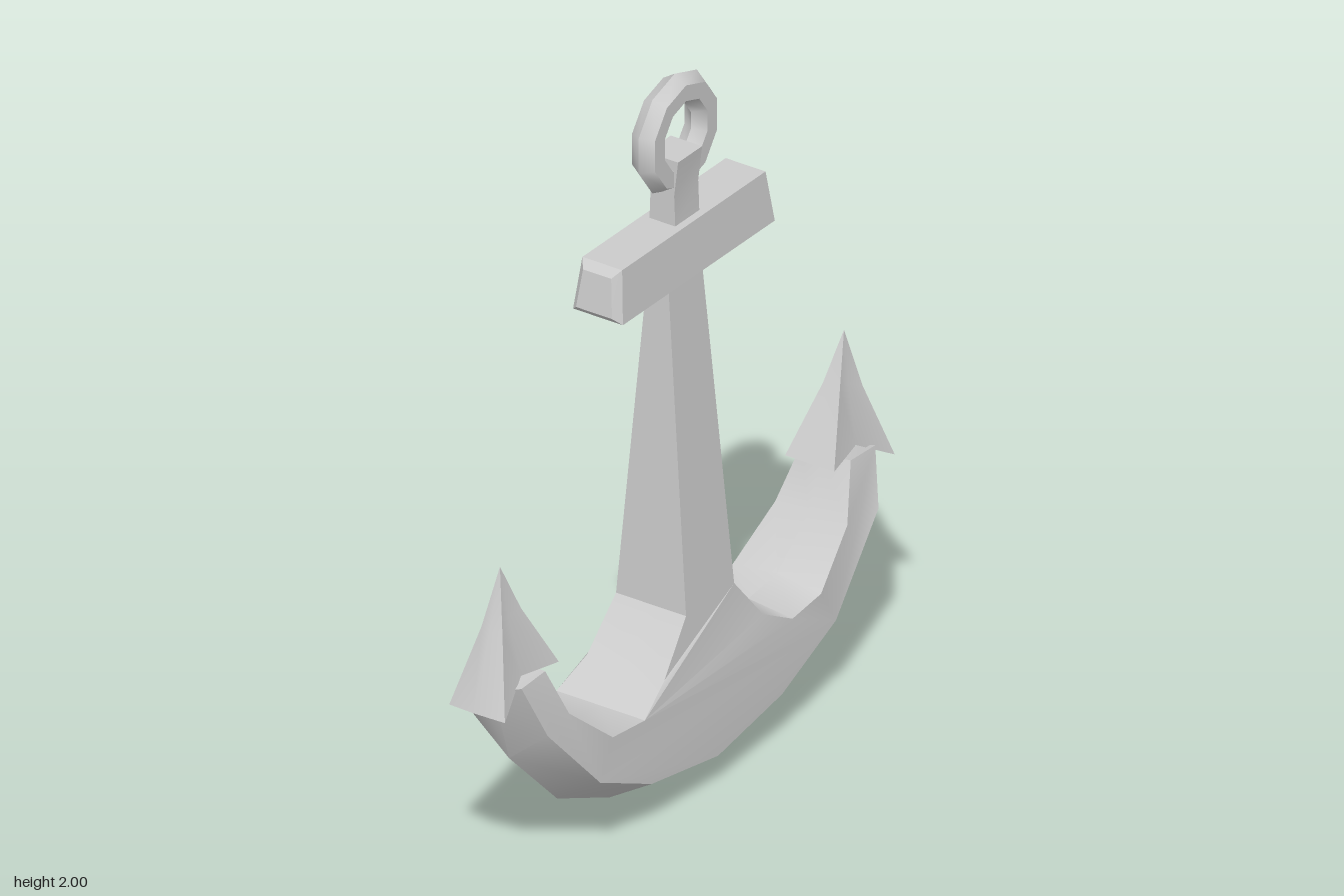
import * as THREE from 'three';
import { toCreasedNormals } from 'three/addons/utils/BufferGeometryUtils.js';

const material = new THREE.MeshStandardMaterial({ color: 0xcccccc });

function addMesh(parent, name, geometry, crease = 0.6) {
  const mesh = new THREE.Mesh(toCreasedNormals(geometry, crease), material);
  mesh.name = name;
  parent.add(mesh);
  return mesh;
}

function fromTriangles(triangles) {
  const geometry = new THREE.BufferGeometry();
  geometry.setAttribute('position', new THREE.Float32BufferAttribute(triangles.flat(2), 3));
  geometry.computeVertexNormals();
  return geometry;
}

// Shank and arms: outline points [z, y, half width, centre shift in z, centre shift in y]
function bodyGeometry() {
  const outline = [
    [-0.01, 0.095, 0.135, 0, -0.09],
    [0.28, 0.145, 0.135, -0.01, -0.085],
    [0.505, 0.25, 0.135, -0.005, -0.09],
    [0.71, 0.47, 0.118, 0.0, -0.1],
    [0.77, 0.62, 0.08, 0.01, -0.03],
    [0.66, 0.62, 0.075, 0, 0],
    [0.605, 0.485, 0.11, 0, 0],
    [0.45, 0.355, 0.135, 0, 0],
    [0.31, 0.34, 0.135, 0, 0],
    [0.2, 0.4, 0.118, 0, 0],
    [0.09, 0.53, 0.107, 0, 0],
    [0.06, 1.47, 0.03, 0, 0],
    [-0.085, 1.47, 0.03, 0, 0],
    [-0.12, 0.53, 0.107, -0.03, 0],
    [-0.23, 0.395, 0.118, -0.015, 0.015],
    [-0.335, 0.34, 0.135, 0, 0.015],
    [-0.46, 0.355, 0.135, 0, 0.015],
    [-0.61, 0.475, 0.11, 0.01, 0.01],
    [-0.675, 0.62, 0.075, 0.015, 0],
    [-0.775, 0.62, 0.08, -0.01, -0.03],
    [-0.735, 0.47, 0.118, 0, -0.1],
    [-0.525, 0.25, 0.135, 0, -0.09],
    [-0.29, 0.145, 0.135, 0, -0.09],
  ];
  const left = outline.map(([z, y, x]) => [x, y, z]);
  const right = outline.map(([z, y, x]) => [-x, y, z]);
  const middle = outline.map(([z, y, , dz, dy]) => [0, y + dy, z + dz]);
  const triangles = [];

  // Flat sides
  const contour = outline.map(([z, y]) => new THREE.Vector2(z, y));
  for (const [a, b, c] of THREE.ShapeUtils.triangulateShape(contour, [])) {
    triangles.push([right[a], right[b], right[c]], [left[a], left[c], left[b]]);
  }
  // Rim, in two strips that meet on the centre line
  outline.forEach((_, i) => {
    const j = (i + 1) % outline.length;
    for (const [p, q] of [[left, middle], [middle, right]]) {
      triangles.push([p[i], p[j], q[j]], [p[i], q[j], q[i]]);
    }
  });
  return fromTriangles(triangles);
}

// Barbed point with a pinched, hourglass-shaped base
function flukeGeometry() {
  const ring = (inner, side, outer, back) => [
    inner, side, outer, back,
    ...[outer, side, inner].map(([x, y, z]) => [-x, y, z]),
  ];
  const rings = [
    ring([0.075, 0.62, 0.6], [0.05, 0.63, 0.73], [0.085, 0.56, 0.85], [0, 0.57, 0.868]),
    ring([0.026, 0.8, 0.695], [0.02, 0.79, 0.74], [0.032, 0.77, 0.785], [0, 0.77, 0.795]),
  ];
  const tip = [0, 0.935, 0.75], centre = [0, 0.63, 0.73];
  const [base, upper] = rings;
  const triangles = [];
  base.forEach((_, i) => {
    const j = (i + 1) % base.length;
    triangles.push(
      [centre, base[i], base[j]],
      [base[i], upper[j], base[j]],
      [base[i], upper[i], upper[j]],
      [upper[i], tip, upper[j]],
    );
  });
  return fromTriangles(triangles);
}

// Crossbar: bevelled trapezoid running along z
function stockGeometry() {
  const shape = new THREE.Shape();
  shape.moveTo(-0.055, 1.475);
  shape.lineTo(0.055, 1.475);
  shape.lineTo(0.043, 1.58);
  shape.lineTo(-0.043, 1.58);
  shape.closePath();
  const geometry = new THREE.ExtrudeGeometry(shape, {
    depth: 0.66, bevelThickness: 0.02, bevelSize: 0.02, bevelSegments: 1,
  });
  geometry.translate(0, 0, -0.34);
  // The ends lean inwards towards the top
  const p = geometry.attributes.position;
  for (let i = 0; i < p.count; i++) {
    const lean = (p.getY(i) - 1.47) * 0.13;
    p.setZ(i, p.getZ(i) - Math.sign(p.getZ(i)) * lean);
  }
  geometry.computeVertexNormals();
  return geometry;
}

// Lug holding the ring: waisted block
function lugGeometry() {
  const geometry = new THREE.BoxGeometry(0.08, 0.2, 0.105, 1, 2, 1);
  const p = geometry.attributes.position;
  for (let i = 0; i < p.count; i++) {
    const y = p.getY(i);
    p.setX(i, p.getX(i) * (y > 0.05 ? 1.2 : y > -0.05 ? 0.9 : 1));
  }
  geometry.translate(0, 1.685, -0.012);
  geometry.computeVertexNormals();
  return geometry;
}

export function createModel() {
  const model = new THREE.Group();
  model.name = 'anchor';

  addMesh(model, 'shankAndArms', bodyGeometry());
  addMesh(model, 'frontFluke', flukeGeometry());
  const backFluke = addMesh(model, 'backFluke', flukeGeometry());
  backFluke.rotation.y = Math.PI;
  backFluke.position.z = -0.003;

  addMesh(model, 'stock', stockGeometry());
  addMesh(model, 'lug', lugGeometry(), 0.3);

  // Ring: ten-sided, with a six-sided section
  const ring = new THREE.TorusGeometry(0.12, 0.045, 6, 10);
  ring.rotateZ(Math.PI / 10 * 5);
  ring.rotateY(Math.PI / 2);
  ring.scale(0.9, 1, 1);
  ring.translate(0, 1.835, -0.013);
  addMesh(model, 'ring', ring, 0.7);

  return model;
}
